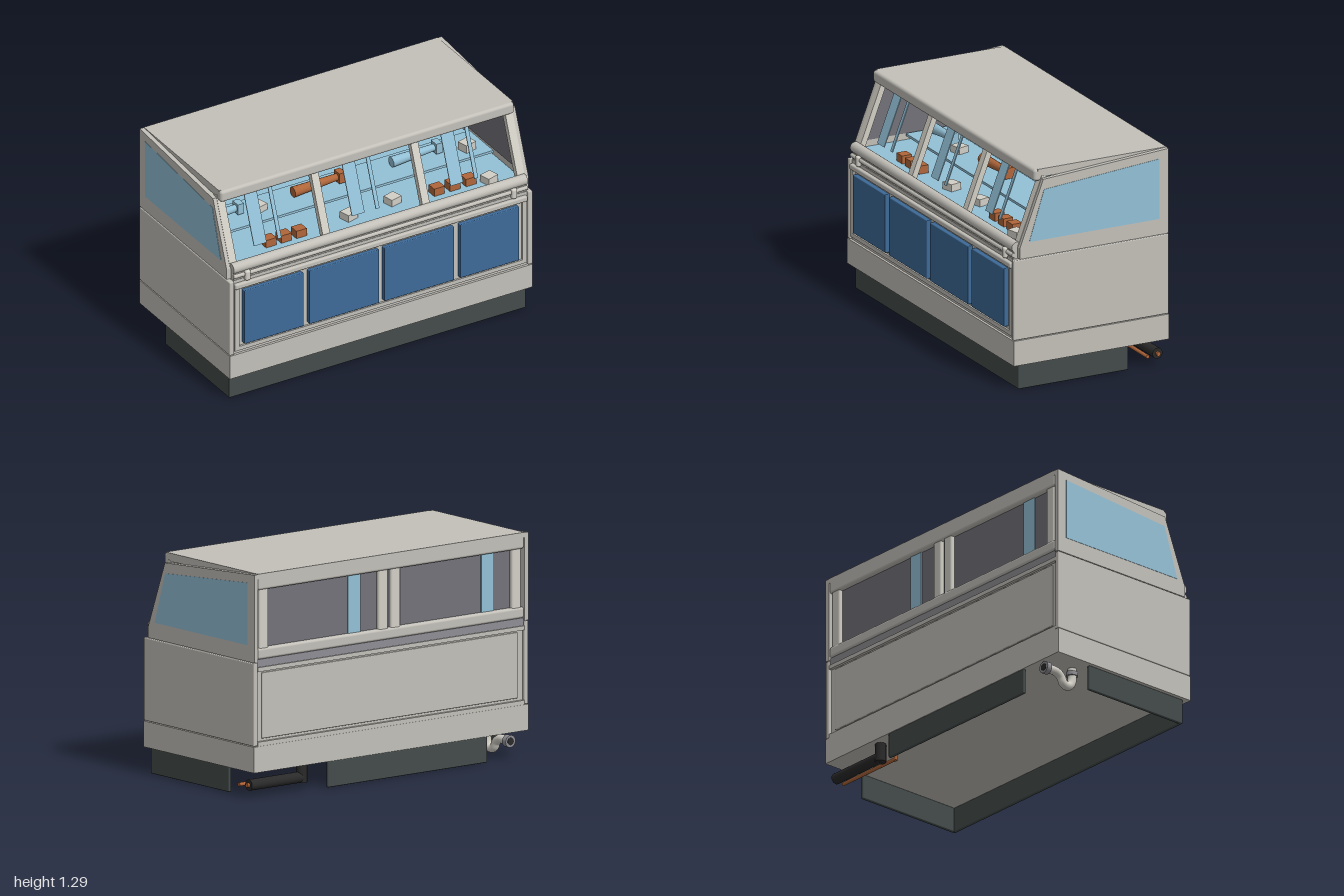
import * as THREE from 'three';
import { RoundedBoxGeometry } from 'three/addons/geometries/RoundedBoxGeometry.js';

const mat = (name, color, side = THREE.FrontSide) => {
  const m = new THREE.MeshStandardMaterial({ color, side });
  m.name = name;
  return m;
};

export function createModel() {
  const root = new THREE.Group();
  root.name = 'displayCounter';
  const M = {
    body: mat('warm grey', 0xc3c0b9),
    trim: mat('pale trim', 0xd2cfc6),
    glass: mat('light blue', 0x93c0d6, THREE.DoubleSide),
    panel: mat('panel blue', 0x3d6a98),
    dark: mat('smoked grey', 0x727279, THREE.DoubleSide),
    kick: mat('kick charcoal', 0x434b4a),
    metal: mat('steel grey', 0x8e8e94),
    copper: mat('copper', 0xb0663a),
    black: mat('black', 0x2a2a2a),
  };

  const add = (name, geo, m, parent = root) => {
    const o = new THREE.Mesh(geo, m);
    o.name = name;
    parent.add(o);
    return o;
  };
  // box given by its limits, optionally with rounded edges
  const box = (name, m, x0, x1, y0, y1, z0, z1, r = 0) => {
    const s = [x1 - x0, y1 - y0, z1 - z0];
    const o = add(name, r ? new RoundedBoxGeometry(...s, 3, r) : new THREE.BoxGeometry(...s), m);
    o.position.set((x0 + x1) / 2, (y0 + y1) / 2, (z0 + z1) / 2);
    return o;
  };
  // side profile of [z, y] points extruded between x0 and x1
  const slab = (name, m, pts, x0, x1) => {
    const shape = new THREE.Shape(pts.map(p => new THREE.Vector2(...p)));
    const geo = new THREE.ExtrudeGeometry(shape, { depth: x1 - x0, bevelEnabled: false });
    return add(name, geo.rotateY(-Math.PI / 2).translate(x1, 0, 0), m);
  };
  // cylinder between two points
  const rod = (name, m, a, b, r0, r1 = r0, n = 20) => {
    const A = new THREE.Vector3(...a), B = new THREE.Vector3(...b), d = B.clone().sub(A);
    const o = add(name, new THREE.CylinderGeometry(r1, r0, d.length(), n), m);
    o.position.copy(A).add(B).multiplyScalar(0.5);
    o.quaternion.setFromUnitVectors(new THREE.Vector3(0, 1, 0), d.normalize());
    return o;
  };
  const tube = (name, m, pts, r) => add(name, new THREE.TubeGeometry(
    new THREE.CatmullRomCurve3(pts.map(p => new THREE.Vector3(...p))), 40, r, 14), m);

  // kick base
  box('frontKick', M.kick, -0.98, 0.98, 0, 0.15, 0.43, 0.45, 0.006);
  for (const s of [-1, 1]) box('sideKick', M.kick, s * 0.97 - 0.01, s * 0.97 + 0.01, 0, 0.15, -0.255, 0.45, 0.006);
  box('backKick', M.kick, -0.7, 0.46, 0, 0.15, -0.505, -0.485, 0.006);

  // lower cabinet
  box('plinth', M.body, -1, 1, 0.15, 0.3, -0.505, 0.49);
  box('cabinetCore', M.body, -0.97, 0.97, 0.3, 0.78, -0.485, 0.475);
  for (const s of [-1, 1])
    box('cabinetSide', M.body, s * 0.985 - 0.015, s * 0.985 + 0.015, 0.303, 0.782, -0.505, 0.49, 0.006);

  // front frame and coloured panels
  box('frontFrameBottom', M.body, -0.965, 0.965, 0.32, 0.345, 0.47, 0.487);
  box('frontFrameTop', M.body, -0.965, 0.965, 0.725, 0.76, 0.46, 0.497, 0.01);
  for (const s of [-1, 1]) box('frontFrameSide', M.body, s * 0.95 - 0.015, s * 0.95 + 0.015, 0.32, 0.74, 0.47, 0.487);
  for (const [a, b] of [[-0.91, -0.52], [-0.48, -0.02], [0.015, 0.475], [0.515, 0.905]])
    box('frontPanel', M.panel, a, b, 0.36, 0.71, 0.47, 0.503, 0.005);

  // back service panel with its frame
  box('backPanel', M.body, -0.93, 0.93, 0.34, 0.72, -0.495, -0.48, 0.005);
  box('backFrameBottom', M.body, -0.97, 0.97, 0.3, 0.325, -0.503, -0.48);
  box('backFrameTop', M.body, -0.97, 0.97, 0.73, 0.755, -0.503, -0.48);
  box('backTrack', M.metal, -0.97, 0.97, 0.755, 0.8, -0.495, -0.46);

  // front ledge, handrail and brackets
  box('frontLedge', M.body, -0.97, 0.97, 0.775, 0.835, 0.4, 0.475, 0.012);
  rod('handrail', M.body, [-0.97, 0.85, 0.455], [0.97, 0.85, 0.455], 0.032);
  rod('lowerRail', M.body, [-0.97, 0.805, 0.475], [0.97, 0.805, 0.475], 0.013);
  for (const s of [-1, 1]) {
    box('railBracket', M.trim, s * 0.88 - 0.018, s * 0.88 + 0.018, 0.765, 0.83, 0.46, 0.498, 0.012);
  }

  // upper side walls with glazing
  const wall = [[0.45, 0.785], [0.45, 0.85], [0.3, 1.24], [-0.505, 1.293], [-0.505, 0.785]];
  const pane = [[0.39, 0.88], [0.295, 1.18], [-0.445, 1.24], [-0.445, 0.88]];
  for (const s of [-1, 1]) {
    slab('upperSide', M.body, wall, s * 0.983 - 0.014, s * 0.983 + 0.014);
    slab('sideGlass', M.glass, pane, s * 0.9975 - 0.0015, s * 0.9975 + 0.0015);
    slab('sideGlassInner', M.dark, pane, s * 0.967 - 0.003, s * 0.967 + 0.003);
  }

  // roof with rounded front visor
  slab('roof', M.body, [[0.32, 1.295], [0.32, 1.245], [-0.505, 1.265], [-0.505, 1.295]], -0.97, 0.97);
  box('roofVisor', M.body, -0.97, 0.97, 1.223, 1.295, 0.275, 0.343, 0.018);

  // slanted front posts and highlight strips
  const slanted = (name, m, x, w, y0, y1, t) => {
    const z = y => 0.445 - (y - 0.86) * 0.385;
    const o = add(name, new THREE.BoxGeometry(w, Math.hypot(y1 - y0, z(y1) - z(y0)), t), m);
    o.position.set(x, (y0 + y1) / 2, (z(y0) + z(y1)) / 2 - 0.015);
    o.rotation.x = -Math.atan(0.385);
  };
  for (const x of [-0.95, -0.333, 0.325, 0.95]) slanted('frontPost', M.trim, x, 0.048, 0.85, 1.25, 0.035);
  for (const x of [-0.75, -0.103, 0.548]) {
    slanted('glassStrip', M.glass, x, 0.083, 0.92, 1.23, 0.006);
    slanted('glassStripThin', M.glass, x + 0.128, 0.024, 0.92, 1.23, 0.006);
  }

  // sliding back doors
  box('backTopRail', M.body, -0.97, 0.97, 1.2, 1.285, -0.505, -0.45, 0.015);
  box('backSill', M.body, -0.97, 0.97, 0.8, 0.865, -0.505, -0.45, 0.015);
  box('backDoors', M.dark, -0.96, 0.96, 0.85, 1.22, -0.475, -0.465);
  for (const x of [-0.92, -0.04, 0.05, 0.92])
    box('doorStile', M.trim, x - 0.034, x + 0.034, 0.85, 1.22, -0.498, -0.46, 0.012);
  for (const x of [-0.72, 0.25]) box('doorStrip', M.glass, x - 0.046, x + 0.046, 0.865, 1.2, -0.482, -0.476);

  // stepped interior shelves
  box('frontDeck', M.glass, -0.965, 0.965, 0.78, 0.842, -0.46, 0.43);
  box('middleShelf', M.glass, -0.95, 0.95, 0.87, 0.885, -0.12, 0.14);
  box('rearShelf', M.glass, -0.95, 0.95, 0.925, 0.945, -0.44, -0.16);
  box('shelfEdge', M.glass, -0.95, 0.95, 0.917, 0.95, -0.16, -0.15);

  // displayed goods: tapered pieces with a block at one end
  const goods = (m, x0, x1, y, z) => {
    rod('taperedGood', m, [x0, y, z], [x1, y + 0.012, z], 0.032, 0.02, 14);
    box('goodEnd', m, x1 - 0.02, x1 + 0.02, y - 0.02, y + 0.045, z - 0.03, z + 0.03);
  };
  goods(M.copper, -0.68, -0.42, 0.977, -0.27);
  goods(M.metal, -0.1, 0.15, 0.977, -0.27);
  goods(M.copper, 0.43, 0.74, 0.977, -0.27);
  goods(M.glass, -0.87, -0.65, 0.917, 0);
  goods(M.copper, -0.29, 0.02, 0.917, 0);
  goods(M.glass, 0.36, 0.66, 0.917, 0);
  for (const x of [-0.64, -0.54, -0.44, 0.47, 0.575, 0.68])
    box('smallCube', M.copper, x - 0.034, x + 0.034, 0.835, 0.89, 0.285, 0.347);
  for (const [x, y, z] of [[-0.53, 0.9, 0.02], [-0.23, 0.965, -0.25], [0.3, 0.97, -0.25],
    [0.83, 0.91, 0.05], [0.9, 0.97, -0.25], [-0.1, 0.86, 0.3], [0.2, 0.86, 0.28], [0.79, 0.86, 0.36]])
    box('paleTray', M.trim, x - 0.038, x + 0.038, y - 0.025, y + 0.025, z - 0.035, z + 0.035).rotation.y = 0.25;

  // drain trap
  tube('drainTrap', M.trim, [[-0.87, 0.16, -0.29], [-0.87, 0.08, -0.29], [-0.87, 0.045, -0.305],
    [-0.87, 0.035, -0.33], [-0.87, 0.045, -0.355], [-0.87, 0.08, -0.375], [-0.87, 0.1, -0.41], [-0.87, 0.1, -0.49]], 0.026);
  rod('drainCollar', M.metal, [-0.87, 0.105, -0.29], [-0.87, 0.13, -0.29], 0.034);
  rod('drainFlange', M.metal, [-0.87, 0.1, -0.47], [-0.87, 0.1, -0.503], 0.036);
  rod('drainOpening', M.black, [-0.87, 0.1, -0.5], [-0.87, 0.1, -0.505], 0.022);

  // insulated and bare service pipes
  rod('insulatedPipe', M.black, [0.6, 0.07, -0.44], [0.985, 0.07, -0.44], 0.032);
  rod('insulatedRiser', M.black, [0.6, 0.04, -0.44], [0.6, 0.155, -0.44], 0.032);
  rod('pipeCore', M.copper, [0.95, 0.07, -0.44], [1, 0.07, -0.44], 0.013);
  rod('copperPipe', M.copper, [0.55, 0.065, -0.37], [1, 0.065, -0.37], 0.011);
  rod('copperRiser', M.copper, [0.55, 0.055, -0.37], [0.55, 0.155, -0.37], 0.011);

  return root;
}
